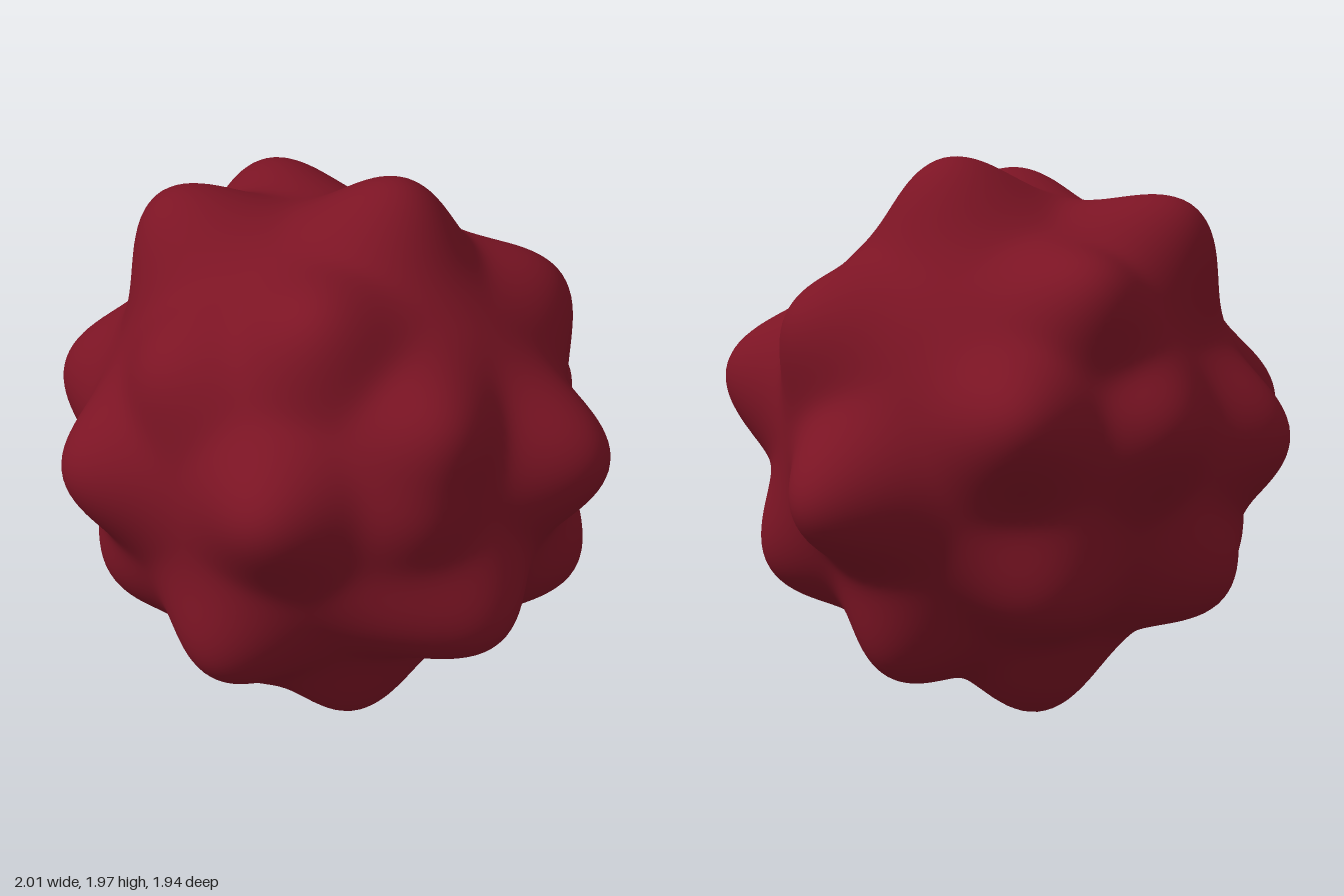
import * as THREE from 'three';
import { mergeVertices } from 'three/addons/utils/BufferGeometryUtils.js';

// Tips of the rounded knobs, measured from the centre of the ball
const knobs = [
  // crown
  [0.28, 0.97, 0], [-0.27, 0.82, 0.47], [-0.44, 0.81, -0.51], [0.1, 0.62, -0.81],
  // upper ring
  [0.86, 0.46, 0.05], [0.08, 0.47, 0.86], [-0.73, 0.55, 0.12],
  // middle ring
  [0.7, 0.16, 0.79], [0, 0.16, 0.9], [-0.6, 0.2, 0.76], [-1, 0.05, -0.07],
  [-0.68, 0.01, -0.76], [-0.13, 0.11, -0.97], [0.48, 0.16, -0.93], [1, -0.2, -0.29],
  // lower ring
  [0.21, -0.36, 0.94], [-0.02, -0.32, 0.87], [-0.67, -0.56, 0.48], [0.73, -0.5, 0.45],
  [-0.76, -0.52, -0.2], [-0.42, -0.53, -0.75], [0.25, -0.56, -0.77],
  // underside
  [0.56, -0.83, -0.12], [0, -0.99, -0.18], [-0.1, -0.92, 0.38], [-0.46, -0.76, 0.25],
].map((p) => {
  const tip = new THREE.Vector3(...p);
  return { height: tip.length(), dir: tip.normalize() };
});

const CORE = 0.82;
const WIDTH = 0.28;

// Distance from the centre to the surface: core plus softly blended knobs
function surfaceRadius(dir) {
  let sum = 0;
  for (const k of knobs) {
    const a = dir.angleTo(k.dir) / WIDTH;
    sum += ((k.height - CORE) * Math.exp(-a * a)) ** 2;
  }
  return CORE + Math.sqrt(sum);
}

export function createModel() {
  const group = new THREE.Group();
  group.name = 'knobblyBall';

  // Sphere pushed out along each direction
  let geometry = new THREE.IcosahedronGeometry(1, 40);
  geometry.deleteAttribute('normal');
  geometry.deleteAttribute('uv');
  geometry = mergeVertices(geometry);
  const pos = geometry.attributes.position;
  const v = new THREE.Vector3();
  for (let i = 0; i < pos.count; i++) {
    v.fromBufferAttribute(pos, i).normalize();
    v.multiplyScalar(surfaceRadius(v));
    pos.setXYZ(i, v.x, v.y, v.z);
  }

  // Rest on the ground, centred
  geometry.computeBoundingBox();
  const box = geometry.boundingBox;
  const c = box.getCenter(new THREE.Vector3());
  geometry.translate(-c.x, -box.min.y, -c.z);
  geometry.computeVertexNormals();

  const ball = new THREE.Mesh(geometry, new THREE.MeshStandardMaterial({ color: 0x7c1424 }));
  ball.name = 'bumpyBody';
  group.add(ball);
  return group;
}
